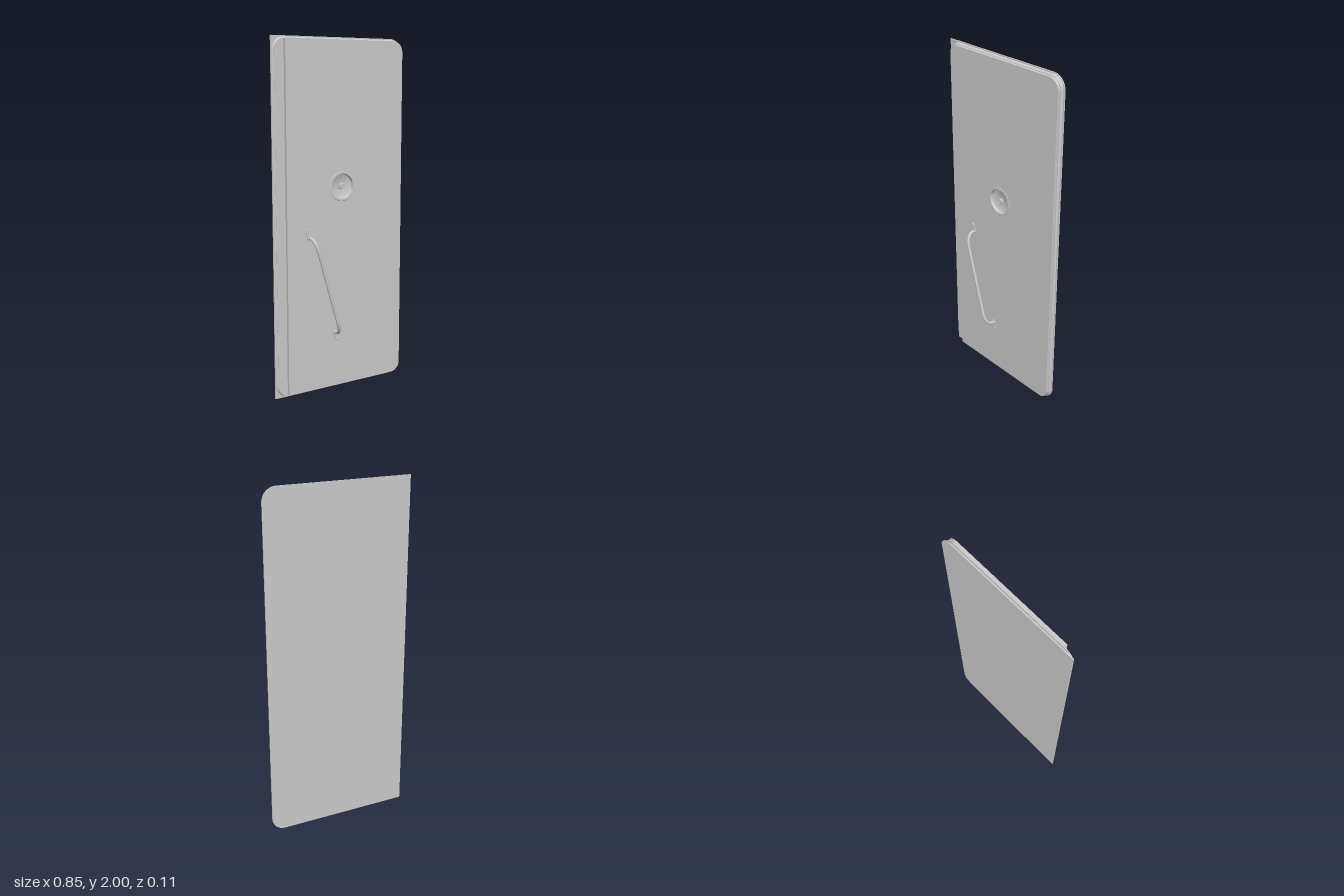
import * as THREE from 'three';
import { toCreasedNormals } from 'three/addons/utils/BufferGeometryUtils.js';

const grey = new THREE.MeshStandardMaterial({ color: 0xcccccc, side: THREE.DoubleSide });

function add(parent, name, geometry, x = 0, y = 0, z = 0) {
  const mesh = new THREE.Mesh(geometry, grey);
  mesh.name = name;
  mesh.position.set(x, y, z);
  parent.add(mesh);
  return mesh;
}

// Upright rectangle with separate corner radii on the -x and +x sides
function plate(x0, x1, y0, y1, rLeft, rRight) {
  const s = new THREE.Shape();
  const corner = (x, y, r, a) => {
    if (r > 0) s.absarc(x, y, r, a, a + Math.PI / 2, false);
    else s.lineTo(x, y);
  };
  s.moveTo(x0 + rLeft, y0);
  corner(x1 - rRight, y0 + rRight, rRight, -Math.PI / 2);
  corner(x1 - rRight, y1 - rRight, rRight, 0);
  corner(x0 + rLeft, y1 - rLeft, rLeft, Math.PI / 2);
  corner(x0 + rLeft, y0 + rLeft, rLeft, Math.PI);
  return s;
}

function extrude(shape, depth) {
  return new THREE.ExtrudeGeometry(shape, { depth, bevelEnabled: false, curveSegments: 16 });
}

// Side wall lofted through rounded rectangles, each given as [half width, margin, z]
function coveWall(sections) {
  const loops = sections.map(([hw, m, z]) =>
    plate(-hw, hw, m, 2 - m, 0.075 - m, 0.075 - m).getPoints(10).map(p => [p.x, p.y, z]));
  const n = loops[0].length;
  const index = [];
  for (let k = 0; k < loops.length - 1; k++) {
    for (let i = 0; i < n; i++) {
      const a = k * n + i, b = k * n + (i + 1) % n;
      index.push(a, b, b + n, a, b + n, a + n);
    }
  }
  const g = new THREE.BufferGeometry();
  g.setAttribute('position', new THREE.Float32BufferAttribute(loops.flat(2), 3));
  g.setIndex(index);
  return toCreasedNormals(g, 0.7);
}

// Revolved profile of [radius, height] turned to face +z
function turned(points, segments = 48) {
  const g = new THREE.LatheGeometry(points.map(p => new THREE.Vector2(...p)), segments);
  return toCreasedNormals(g.rotateX(Math.PI / 2), 0.6);
}

export function createModel() {
  const model = new THREE.Group();
  model.name = 'door';

  // Back skin, square on the hinge side, rounded on the other
  add(model, 'backFlange', extrude(plate(-0.425, 0.425, 0, 2, 0, 0.08), 0.007), 0, 0, -0.058);

  // Stepped, coved core
  add(model, 'covedEdge', coveWall([
    [0.419, 0.006, -0.052], [0.417, 0.008, -0.047], [0.412, 0.013, -0.043],
    [0.410, 0.015, -0.041], [0.413, 0.012, -0.039], [0.413, 0.012, -0.037],
  ]));
  add(model, 'coreFace', new THREE.ShapeGeometry(
    plate(-0.413, 0.413, 0.012, 1.988, 0.063, 0.063), 16), 0, 0, -0.037);

  // Raised front panel with an opening for the lock dish
  const lockY = 1.18;
  const panel = plate(-0.355, 0.41, 0.015, 1.985, 0, 0.06);
  const opening = new THREE.Path();
  opening.absarc(0, lockY, 0.071, 0, Math.PI * 2, true);
  panel.holes.push(opening);
  add(model, 'frontPanel', extrude(panel, 0.017), 0, 0, -0.037);

  // Recessed lock dish, with a thin rim and a central spindle
  const lock = new THREE.Group();
  lock.name = 'lock';
  lock.position.set(0, lockY, -0.02);
  model.add(lock);
  add(lock, 'lockDish', turned([
    [0, -0.015], [0.062, -0.015], [0.068, -0.012], [0.071, 0.002], [0.083, 0.002], [0.085, 0],
  ]));
  add(lock, 'lockSpindle', turned([
    [0.017, -0.015], [0.017, -0.004], [0.015, -0.002], [0.008, -0.002], [0.007, -0.006], [0, -0.006],
  ], 24));

  // Slanted grab handle, built upright and then tilted
  const top = new THREE.Vector2(-0.215, 0.903), bottom = new THREE.Vector2(-0.049, 0.337);
  const half = top.distanceTo(bottom) / 2;
  const handle = new THREE.Group();
  handle.name = 'grabHandle';
  handle.position.set((top.x + bottom.x) / 2, (top.y + bottom.y) / 2, -0.02);
  handle.rotation.z = Math.atan2(bottom.x - top.x, top.y - bottom.y);
  model.add(handle);

  const v = (y, z) => new THREE.Vector3(0, y, z);
  const path = new THREE.CurvePath();
  path.add(new THREE.LineCurve3(v(-half, 0), v(-half, 0.012)));
  path.add(new THREE.CubicBezierCurve3(
    v(-half, 0.012), v(-half, 0.042), v(-half + 0.03, 0.064), v(-half + 0.085, 0.064)));
  path.add(new THREE.LineCurve3(v(-half + 0.085, 0.064), v(half - 0.085, 0.064)));
  path.add(new THREE.CubicBezierCurve3(
    v(half - 0.085, 0.064), v(half - 0.03, 0.064), v(half, 0.042), v(half, 0.012)));
  path.add(new THREE.LineCurve3(v(half, 0.012), v(half, 0)));
  add(handle, 'handleBar', new THREE.TubeGeometry(path, 120, 0.009, 12, false));

  // Tapered foot with a screw at each end of the bar
  for (const side of [1, -1]) {
    const foot = new THREE.Group();
    foot.name = side > 0 ? 'upperFoot' : 'lowerFoot';
    foot.position.y = side * half;
    foot.rotation.z = side > 0 ? 0 : Math.PI;
    handle.add(foot);
    const s = new THREE.Shape();
    s.absarc(0, 0, 0.016, Math.PI - 0.13, Math.PI * 2 + 0.13, false);
    s.absarc(0, 0.046, 0.01, 0.13, Math.PI - 0.13, false);
    add(foot, 'footPlate', extrude(s, 0.005));
    add(foot, 'screwHead', turned([[0.007, 0.005], [0.006, 0.008], [0, 0.009]], 16), 0, 0.044, 0);
  }
  return model;
}
